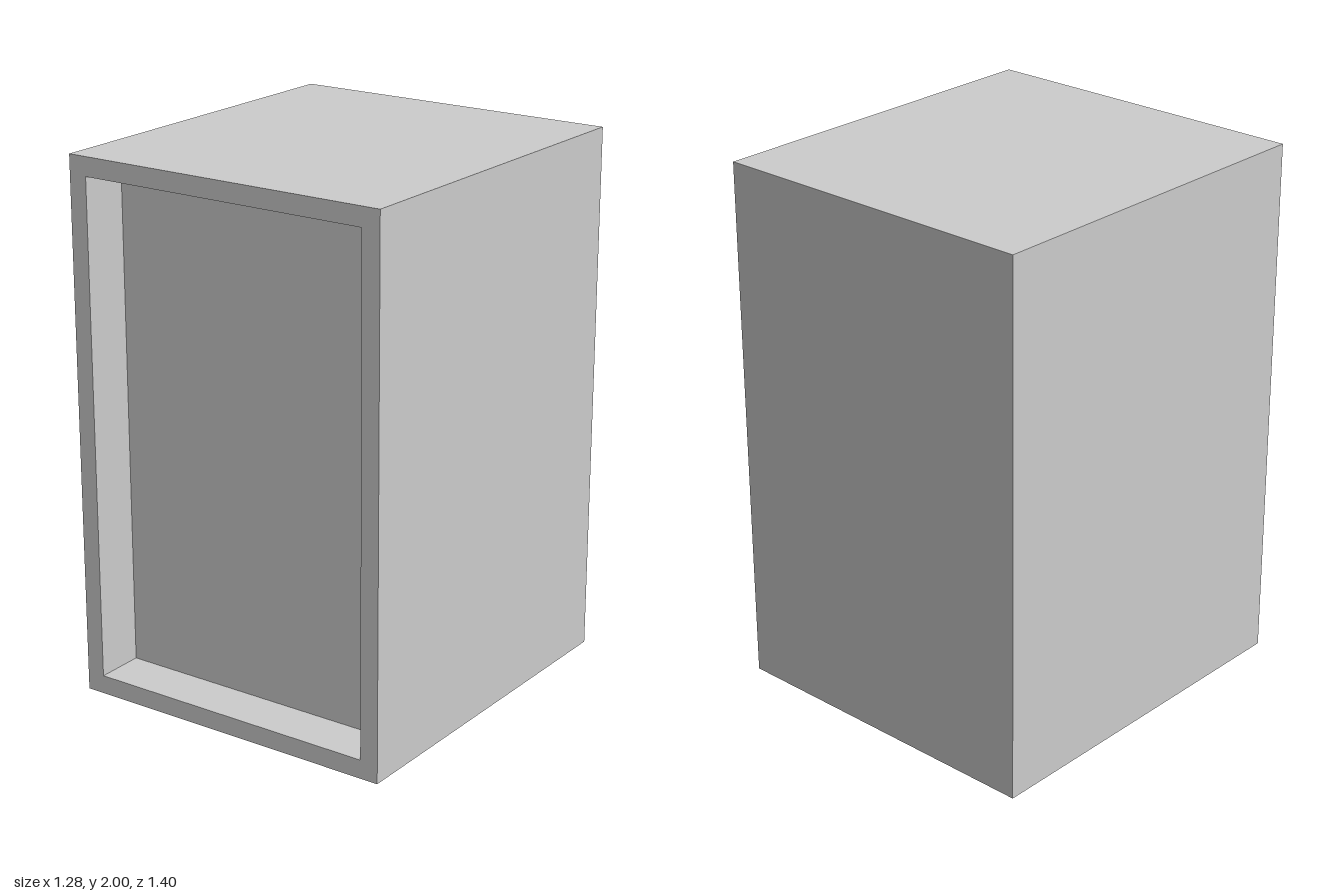
import * as THREE from 'three';

const HALF_W = 0.638, HEIGHT = 2, HALF_D = 0.698;
const WALL = 0.07, RECESS = 0.185;

// Four corners of a rectangle, counter-clockwise seen from the front
function loop(inset, z) {
  const x = HALF_W - inset, y0 = inset, y1 = HEIGHT - inset;
  return [[-x, y0, z], [x, y0, z], [x, y1, z], [-x, y1, z]];
}

// Closed cabinet shell: back, outer walls, front rim, recess walls, recess panel
function cabinetGeometry() {
  const loops = [
    loop(0, -HALF_D),
    loop(0, HALF_D),
    loop(WALL, HALF_D),
    loop(WALL, HALF_D - RECESS),
  ];
  const positions = [];
  const quad = (a, b, c, d) => positions.push(...a, ...b, ...c, ...a, ...c, ...d);

  for (let i = 0; i < loops.length - 1; i++) {
    const p = loops[i], q = loops[i + 1];
    for (let k = 0; k < 4; k++) {
      const n = (k + 1) % 4;
      quad(p[k], p[n], q[n], q[k]);
    }
  }
  quad(...[...loops[0]].reverse()); // back wall
  quad(...loops[3]); // recessed panel

  const geometry = new THREE.BufferGeometry();
  geometry.setAttribute('position', new THREE.Float32BufferAttribute(positions, 3));
  geometry.computeVertexNormals();
  return geometry;
}

export function createModel() {
  const group = new THREE.Group();
  group.name = 'cabinet';
  const material = new THREE.MeshStandardMaterial({ color: 0xcccccc, flatShading: true });
  const cabinet = new THREE.Mesh(cabinetGeometry(), material);
  cabinet.name = 'cabinetShell';
  group.add(cabinet);
  return group;
}
